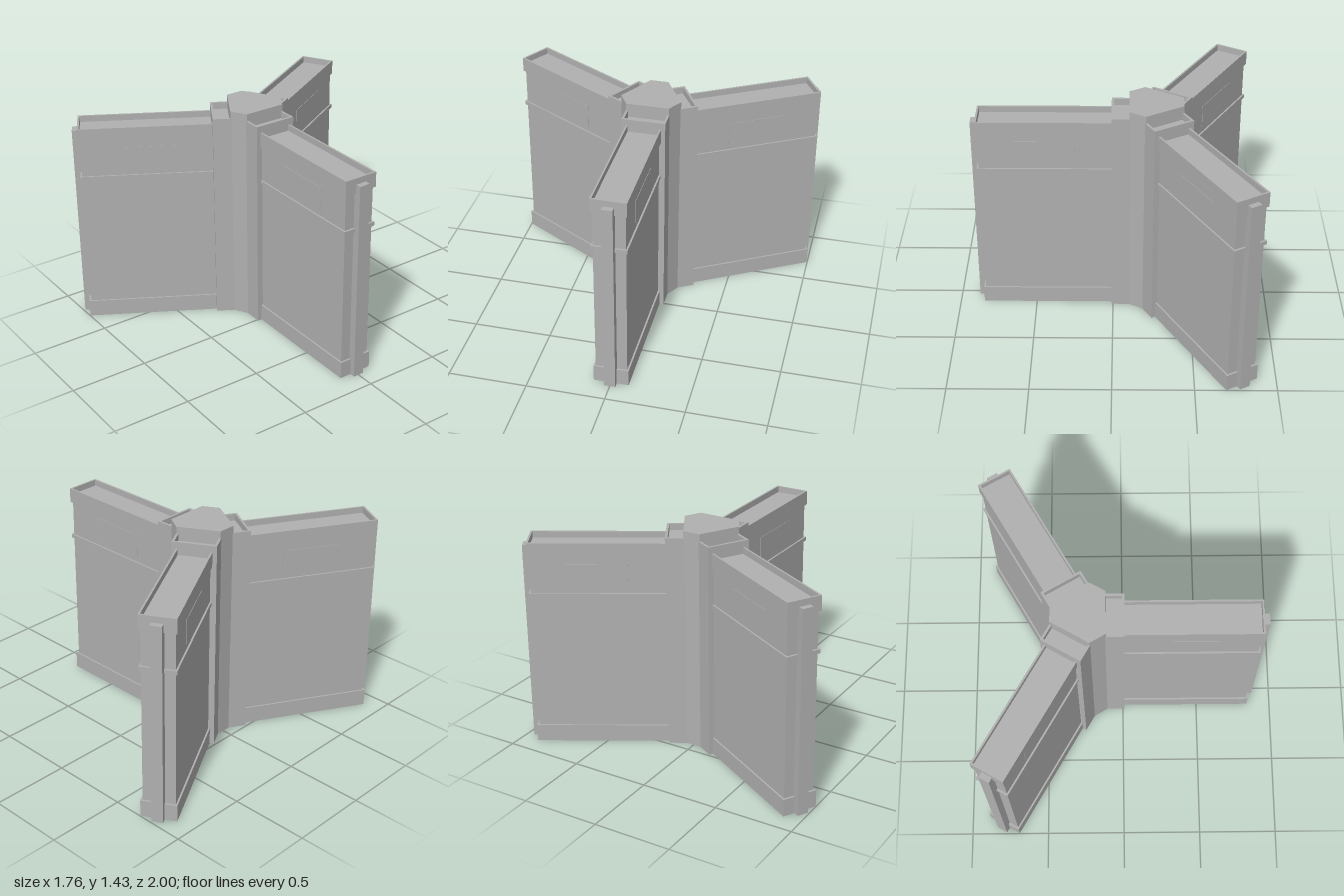
import * as THREE from 'three';

const HUB_X = -0.243;

export function createModel() {
  const model = new THREE.Group();
  const grey = new THREE.MeshStandardMaterial({ color: 0xb0b0b0 });
  grey.name = 'plain grey';

  const add = (parent, name, geometry) => {
    const mesh = new THREE.Mesh(geometry, grey);
    mesh.name = name;
    parent.add(mesh);
    return mesh;
  };

  // Box given by its extents along the arm, in height and its half thickness
  const block = (parent, name, x0, x1, y0, y1, half, z = 0) => {
    const mesh = add(parent, name, new THREE.BoxGeometry(x1 - x0, y1 - y0, half * 2));
    mesh.position.set((x0 + x1) / 2, (y0 + y1) / 2, z);
  };

  // Outline in plan, raised between two heights
  const raise = (shape, y0, y1) =>
    new THREE.ExtrudeGeometry(shape, { depth: y1 - y0, bevelEnabled: false })
      .rotateX(-Math.PI / 2).translate(0, y0, 0);

  // Rectangular rim with an open middle
  const rim = (parent, name, x0, x1, y0, y1, half, wall) => {
    const rect = (a, b, h) => [[a, -h], [b, -h], [b, h], [a, h]].map(p => new THREE.Vector2(...p));
    const shape = new THREE.Shape(rect(x0, x1, half));
    shape.holes.push(new THREE.Path(rect(x0 + wall, x1 - wall, half - wall)));
    add(parent, name, raise(shape, y0, y1));
  };

  // Central six-sided post
  const corners = [];
  for (let i = 0; i < 3; i++) {
    for (const side of [-1, 1]) {
      corners.push(new THREE.Vector2(0.143, side * 0.135)
        .rotateAround(new THREE.Vector2(), i * Math.PI * 2 / 3));
    }
  }
  add(model, 'centralPost', raise(new THREE.Shape(corners), 0, 1.43)).position.x = HUB_X;

  // Three identical wings around the post
  for (let i = 0; i < 3; i++) {
    const wing = new THREE.Group();
    wing.name = 'wing' + (i + 1);
    wing.position.x = HUB_X;
    wing.rotation.y = i * Math.PI * 2 / 3;
    model.add(wing);

    // Collar with a sunken top
    block(wing, 'collar', 0.1, 0.253, 0, 1.34, 0.138);
    rim(wing, 'collarRim', 0.1, 0.253, 1.34, 1.383, 0.138, 0.015);

    // Wall panel with its bands
    block(wing, 'wallPanel', 0.2, 1.075, 0.002, 1.3, 0.1);
    block(wing, 'baseBand', 0.24, 1.088, 0, 0.11, 0.111);
    block(wing, 'middleBand', 0.24, 1.088, 0.99, 1.015, 0.111);
    rim(wing, 'topBand', 0.24, 1.088, 1.245, 1.34, 0.111, 0.012);

    // Upright strip on the end
    block(wing, 'endStrip', 1.07, 1.123, 0, 1.3, 0.035);

    // Thin sign plates on both faces
    for (const side of [-1, 1]) {
      block(wing, 'signPlate', 0.478, 0.853, 1.053, 1.203, 0.002, side * 0.1005);
    }
  }
  return model;
}
